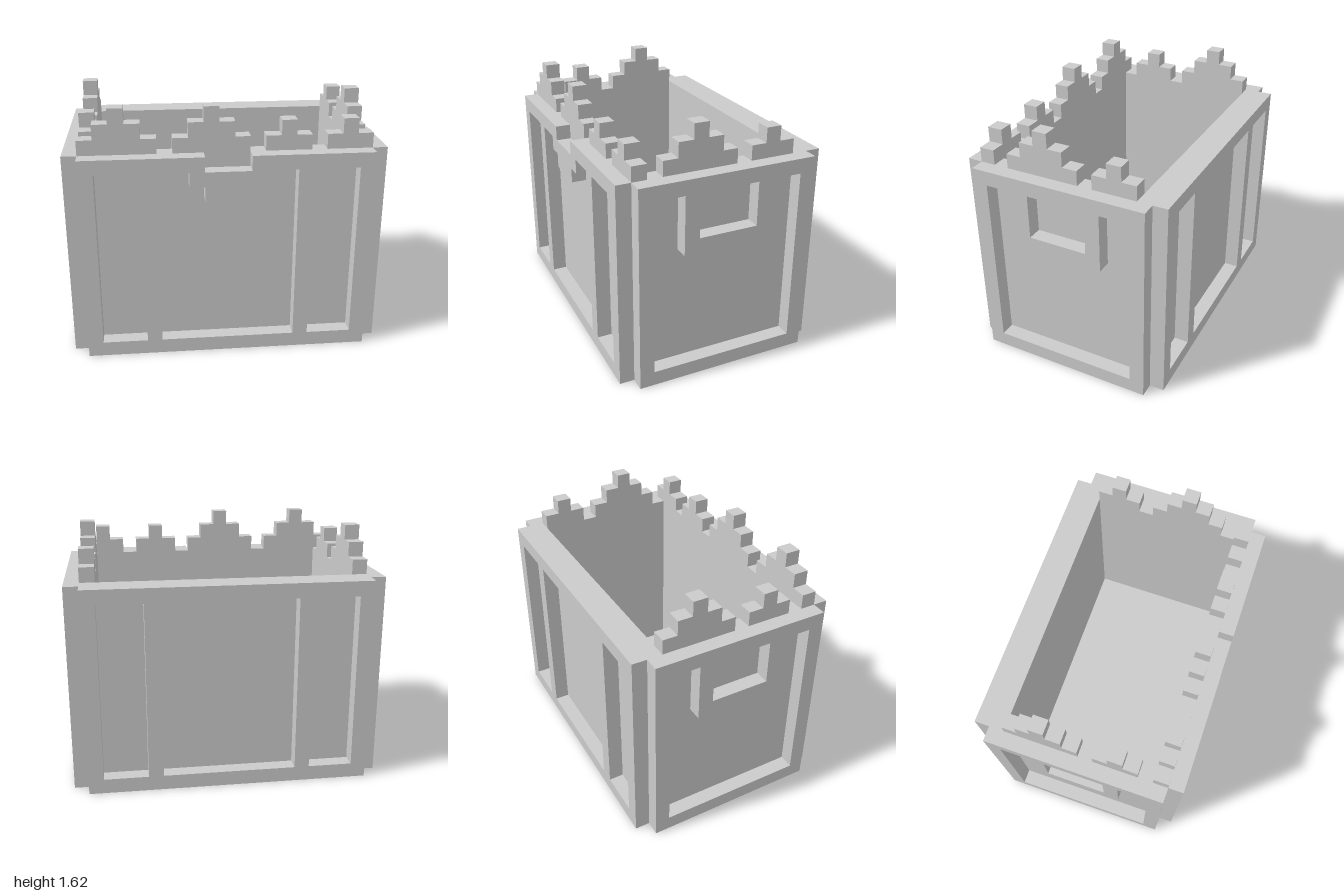
import * as THREE from 'three';

const U = 2 / 21; // one block; everything below is measured in blocks
const material = new THREE.MeshStandardMaterial({ color: 0xcccccc, flatShading: true });

const points = (list) => list.map(([x, y]) => new THREE.Vector2(x, y));
const rect = (x0, y0, x1, y1) => [[x0, y0], [x1, y0], [x1, y1], [x0, y1]];

// Flat plate cut from an outline with holes, centred on z = 0
function plate(outline, holes = [], depth = 1) {
  const shape = new THREE.Shape(points(outline));
  shape.holes = holes.map((h) => new THREE.Path(points(h)));
  const geo = new THREE.ExtrudeGeometry(shape, { depth, bevelEnabled: false });
  return geo.translate(0, 0, -depth / 2);
}

// Stepped pyramid, n blocks high, standing on y = 0
function crestGeometry(n) {
  const right = [];
  for (let i = 0; i < n; i++) right.push([n - i - 0.5, i], [n - i - 0.5, i + 1]);
  const left = right.map(([x, y]) => [-x, y]).reverse();
  return plate([...right, ...left]);
}

export function createModel() {
  const group = new THREE.Group();
  group.name = 'crate';
  const add = (name, geometry, x, y, z, turn = 0) => {
    const mesh = new THREE.Mesh(geometry, material);
    mesh.name = name;
    mesh.position.set(x, y, z);
    mesh.rotation.y = turn;
    group.add(mesh);
  };

  // Inner walls and floor
  const ring = plate(rect(-9.5, -6, 9.5, 6), [rect(-8.5, -5, 8.5, 5)], 14).rotateX(-Math.PI / 2);
  add('walls', ring, 0, 7, 0);
  add('floor', new THREE.BoxGeometry(17, 1, 10), 0, 0.5, 0);

  // Front frame: notched top rail with a stepped ornament hanging below it
  const sidePanels = [rect(-8.5, 1, -5.5, 13), rect(5.5, 1, 8.5, 13)];
  const frontOutline = [
    [-9.5, 0], [9.5, 0], [9.5, 14], [1.5, 14], [1.5, 13], [-1.5, 13], [-1.5, 14], [-9.5, 14],
  ];
  const frontPanel = [
    [-4.5, 1], [4.5, 1], [4.5, 13], [2.5, 13], [2.5, 12], [1.5, 12], [1.5, 11],
    [-1.5, 11], [-1.5, 12], [-2.5, 12], [-2.5, 13], [-4.5, 13],
  ];
  add('frontFrame', plate(frontOutline, [...sidePanels, frontPanel]), 0, 0, 6.5);

  // Back frame: three plain panels
  const backHoles = [...sidePanels, rect(-4.5, 1, 4.5, 13)];
  add('backFrame', plate(rect(-9.5, 0, 9.5, 14), backHoles), 0, 0, -6.5);

  // Side frames, each with a handle hanging from the top rail
  const sidePanel = [[-5, 1], [5, 1], [5, 13], [3, 13], [3, 9], [-3, 9], [-3, 13], [-5, 13]];
  const sideFrame = plate(rect(-6, 0, 6, 14), [sidePanel, rect(-2, 10, 2, 13)]);
  add('leftFrame', sideFrame, 10, 0, 0, Math.PI / 2);
  add('rightFrame', sideFrame, -10, 0, 0, -Math.PI / 2);

  // Stepped crests along the front and side walls: [position, height]
  const crests = { 2: crestGeometry(2), 3: crestGeometry(3) };
  for (const [x, n] of [[-7, 3], [-1, 3], [4, 2], [8, 2]]) add('frontCrest', crests[n], x, 14, 5.5);
  for (const [z, n] of [[1.5, 3], [-3.5, 2]]) add('leftCrest', crests[n], 9, 14, z, Math.PI / 2);
  for (const [z, n] of [[-2.5, 3], [2.5, 2]]) add('rightCrest', crests[n], -9, 14, z, Math.PI / 2);

  group.scale.setScalar(U);
  return group;
}
